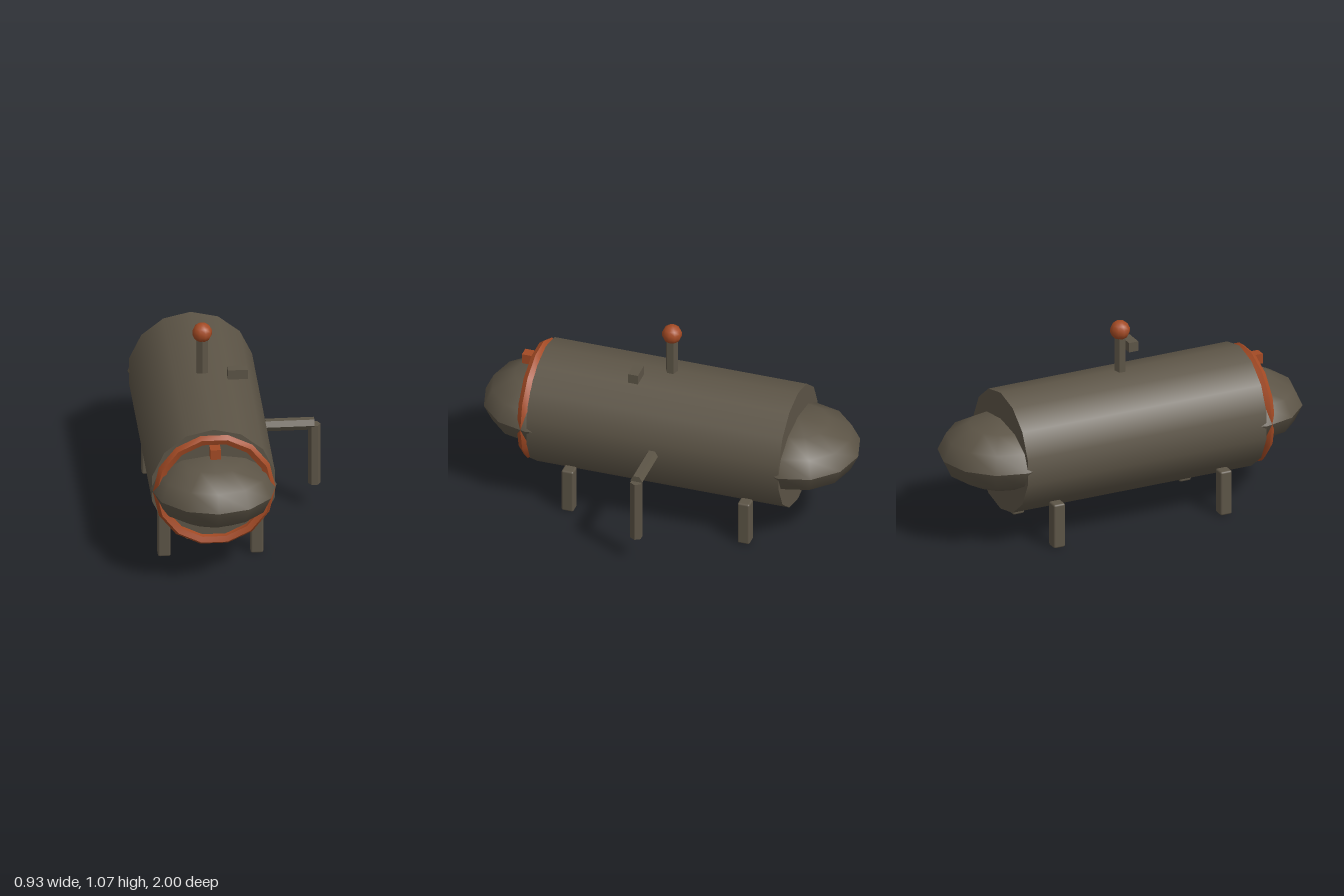
import * as THREE from 'three';
import { toCreasedNormals } from 'three/addons/utils/BufferGeometryUtils.js';
import { RoundedBoxGeometry } from 'three/addons/geometries/RoundedBoxGeometry.js';

const CX = -0.143;  // tank axis
const CY = 0.475;
const R = 0.3225;   // tank radius
const HALF = 0.6775; // half length of the barrel

export function createModel() {
  const model = new THREE.Group();
  model.name = 'boilerTank';

  const iron = new THREE.MeshStandardMaterial({ color: 0x5c5446 });
  iron.name = 'dark iron';
  const copper = new THREE.MeshStandardMaterial({ color: 0xa34a24 });
  copper.name = 'copper';

  const add = (name, geometry, material, x, y, z) => {
    const mesh = new THREE.Mesh(geometry, material);
    mesh.name = name;
    mesh.position.set(x, y, z);
    model.add(mesh);
    return mesh;
  };
  // Six-sided bar with sharp edges
  const hexBar = (length) =>
    toCreasedNormals(new THREE.CylinderGeometry(0.0325, 0.0325, length, 6), 0.7);

  // Barrel
  const barrel = new THREE.CylinderGeometry(R, R, HALF * 2, 14);
  barrel.rotateX(Math.PI / 2);
  add('barrel', barrel, iron, CX, CY, 0);

  // Flattened end domes, creased along their equator
  const dome = toCreasedNormals(
    new THREE.SphereGeometry(R, 12, 6).scale(1, 0.555, 1), 0.72);
  add('frontDome', dome, iron, CX, CY, HALF);
  add('backDome', dome, iron, CX, CY, -HALF);

  // Door ring and its latch
  const ring = toCreasedNormals(new THREE.TorusGeometry(0.288, 0.026, 5, 14), 0.72);
  add('doorRing', ring, copper, CX, CY, 0.71);
  add('doorLatch', new THREE.BoxGeometry(0.054, 0.054, 0.062), copper, CX, 0.713, 0.766);

  // Chimney with ball top
  add('chimney', hexBar(0.22), iron, CX, 0.88, 0);
  add('chimneyBall', new THREE.SphereGeometry(0.0516, 10, 7), copper, CX, 1.016, 0);

  // Small block above the barrel
  add('topBlock', new THREE.BoxGeometry(0.102, 0.052, 0.052), iron, 0.026, 0.848, 0.136);

  // Side outlet: horizontal pipe and down pipe
  const arm = add('outletArm', hexBar(0.25), iron, 0.305, CY, 0);
  arm.rotation.z = Math.PI / 2;
  const drop = add('outletDownPipe', hexBar(0.335), iron, 0.43, 0.305, 0);
  drop.rotation.y = Math.PI / 2;

  // Four legs
  const leg = new RoundedBoxGeometry(0.065, 0.242, 0.065, 2, 0.01);
  for (const sx of [1, -1]) {
    for (const sz of [1, -1]) {
      const name = (sz > 0 ? 'front' : 'back') + (sx > 0 ? 'Left' : 'Right') + 'Leg';
      add(name, leg, iron, CX + sx * 0.237, 0.121, sz * 0.473);
    }
  }

  return model;
}
